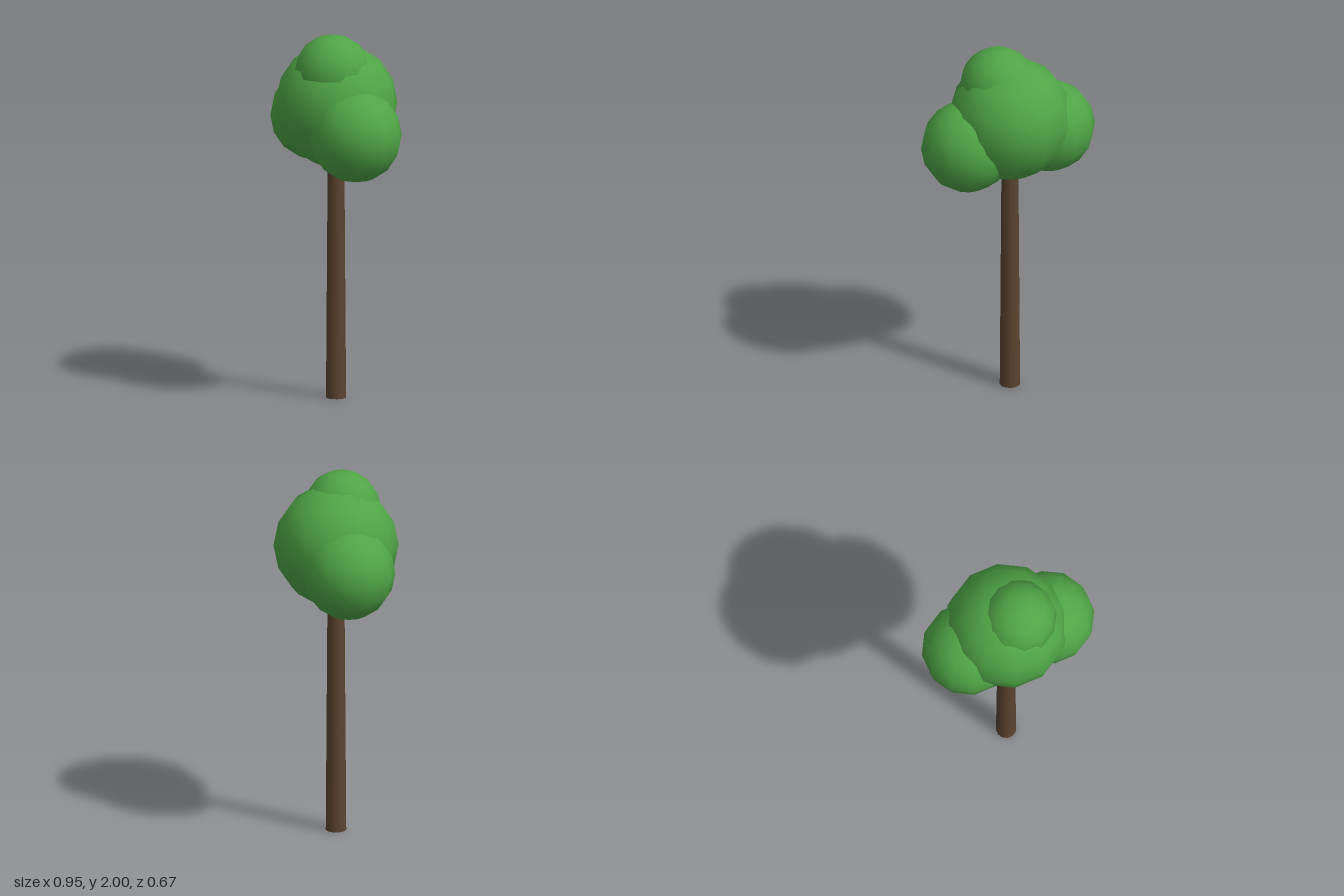
import * as THREE from 'three';

export function createModel() {
  const tree = new THREE.Group();
  tree.name = 'tree';

  const bark = new THREE.MeshStandardMaterial({ color: 0x5c4430 });
  bark.name = 'bark brown';
  const leaf = new THREE.MeshStandardMaterial({ color: 0x4fa546 });
  leaf.name = 'leaf green';

  // Slightly tapered trunk, running up into the crown
  const trunkHeight = 1.4;
  const trunk = new THREE.Mesh(new THREE.CylinderGeometry(0.045, 0.055, trunkHeight, 12), bark);
  trunk.name = 'trunk';
  trunk.position.set(-0.01, trunkHeight / 2, 0);
  tree.add(trunk);

  // Crown of overlapping leaf balls: name, radius, centre
  const crown = new THREE.Group();
  crown.name = 'crown';
  const balls = [
    ['mainFoliage', 0.335, -0.01, 1.605, 0],
    ['leftFoliage', 0.25, 0.225, 1.48, 0.067],
    ['rightFoliage', 0.25, -0.23, 1.515, -0.053],
    ['topFoliage', 0.21, 0.025, 1.79, 0.057],
  ];
  for (const [name, radius, x, y, z] of balls) {
    const ball = new THREE.Mesh(new THREE.SphereGeometry(radius, 12, 8), leaf);
    ball.name = name;
    ball.position.set(x, y, z);
    crown.add(ball);
  }
  tree.add(crown);

  return tree;
}
